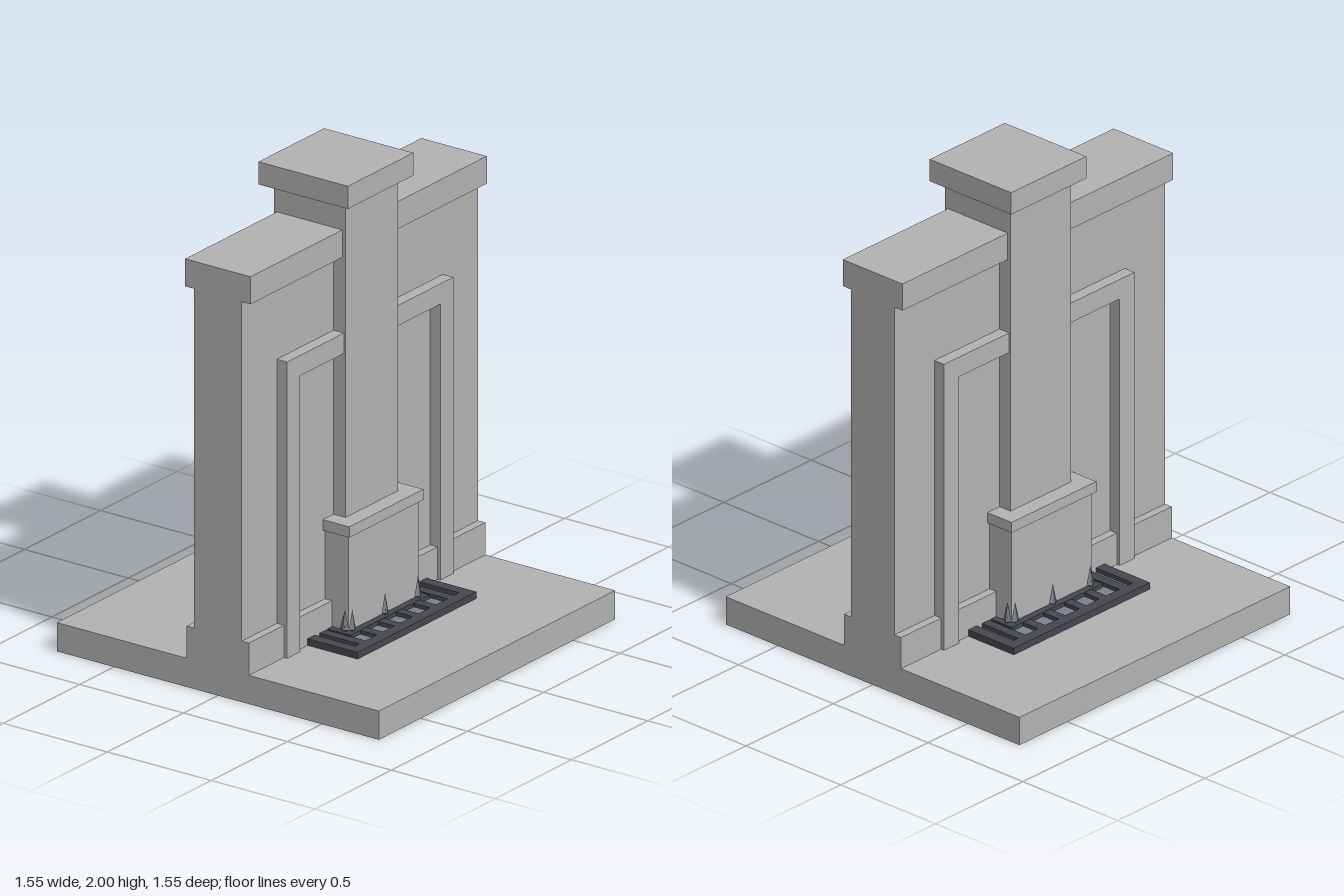
import * as THREE from 'three';

const stone = new THREE.MeshStandardMaterial({ color: 0xb2b2b2 });
stone.name = 'stone';
const iron = new THREE.MeshStandardMaterial({ color: 0x46474f });
iron.name = 'dark iron';
const steel = new THREE.MeshStandardMaterial({ color: 0x7b828c });
steel.name = 'grey steel';

export function createModel() {
  const model = new THREE.Group();
  model.name = 'monument';

  // Box centred on x and z by default, spanning y0 to y1
  function box(name, w, y0, y1, d, material = stone, x = 0, z = 0, parent = model) {
    const mesh = new THREE.Mesh(new THREE.BoxGeometry(w, y1 - y0, d), material);
    mesh.position.set(x, (y0 + y1) / 2, z);
    mesh.name = name;
    parent.add(mesh);
    return mesh;
  }

  // Plinth and wall
  box('basePlate', 1.55, 0, 0.12, 1.55);
  box('wall', 1.55, 0.12, 1.68, 0.23);
  box('baseboard', 1.55, 0.12, 0.255, 0.3);
  box('wallCoping', 1.55, 1.675, 1.79, 0.315);

  // Raised arch frame running through the wall
  const arch = new THREE.Shape();
  [[-0.545, 0.12], [-0.46, 0.12], [-0.46, 1.275], [0.46, 1.275], [0.46, 0.12], [0.545, 0.12], [0.545, 1.36], [-0.545, 1.36]]
    .forEach(([x, y], i) => (i ? arch.lineTo(x, y) : arch.moveTo(x, y)));
  const frame = new THREE.Mesh(new THREE.ExtrudeGeometry(arch, { depth: 0.33, bevelEnabled: false }), stone);
  frame.position.z = -0.165;
  frame.name = 'archFrame';
  model.add(frame);

  // Central pillar with pedestal
  box('pillar', 0.345, 0.12, 1.91, 0.345);
  box('pillarCap', 0.43, 1.905, 2, 0.43);
  box('pedestal', 0.46, 0.12, 0.55, 0.46);
  box('pedestalCap', 0.485, 0.545, 0.59, 0.485);

  // Square floor grate around the pedestal
  const grate = new THREE.Group();
  grate.name = 'grate';
  model.add(grate);
  box('gratePanel', 0.7, 0.12, 0.13, 0.7, steel, 0, 0, grate);
  for (const s of [-1, 1]) {
    box('grateRimAcross', 0.78, 0.12, 0.148, 0.048, iron, 0, s * 0.366, grate);
    box('grateRimSide', 0.048, 0.12, 0.148, 0.684, iron, s * 0.366, 0, grate);
    box('grateInnerRimAcross', 0.52, 0.12, 0.147, 0.035, iron, 0, s * 0.2425, grate);
    box('grateInnerRimSide', 0.035, 0.12, 0.147, 0.45, iron, s * 0.2425, 0, grate);
    box('grateSideBar', 0.042, 0.12, 0.146, 0.684, iron, s * 0.29, 0, grate);
    for (const x of [-0.175, -0.06, 0.06, 0.175]) {
      box('grateBar', 0.04, 0.12, 0.146, 0.085, iron, x, s * 0.3, grate);
    }
  }

  // Small spikes standing against each side of the pedestal
  const spikeGeometry = new THREE.ConeGeometry(0.022, 0.08, 4).toNonIndexed();
  spikeGeometry.computeVertexNormals();
  for (let side = 0; side < 4; side++) {
    const row = new THREE.Group();
    row.name = 'spikeRow';
    row.rotation.y = side * Math.PI / 2;
    for (const x of [-0.215, 0, 0.215]) {
      box('spikeStem', 0.012, 0.13, 0.17, 0.012, iron, x, 0.238, row);
      const tip = new THREE.Mesh(spikeGeometry, steel);
      tip.position.set(x, 0.193, 0.236);
      tip.scale.z = 0.6;
      tip.name = 'spikeTip';
      row.add(tip);
    }
    model.add(row);
  }
  return model;
}
